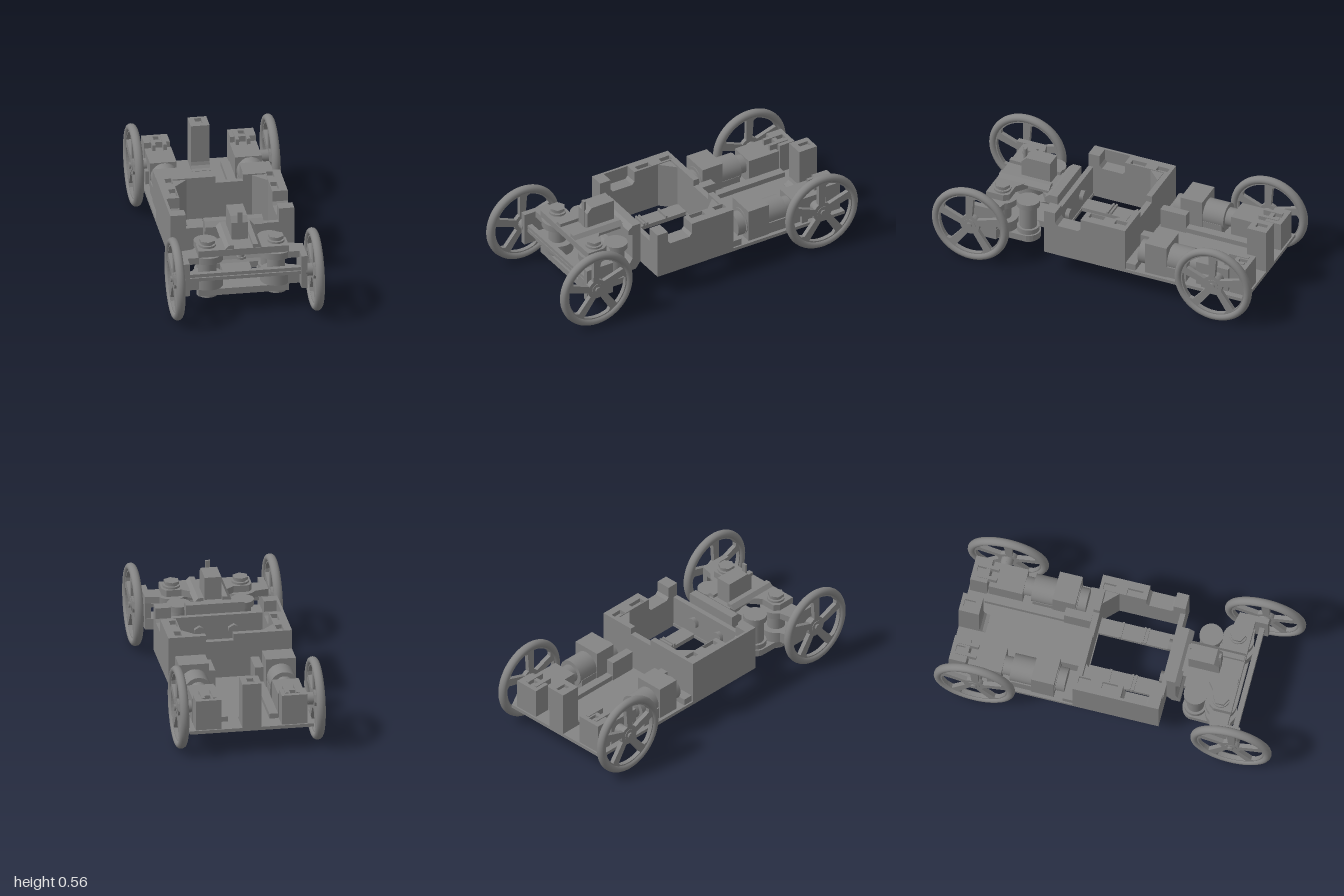
import * as THREE from 'three';

const mat = new THREE.MeshStandardMaterial({ color: 0x848484 });

export function createModel() {
  const root = new THREE.Group();
  const add = (name, geo, parent = root) => {
    const m = new THREE.Mesh(geo, mat);
    m.name = name;
    parent.add(m);
    return m;
  };
  const box = (name, x0, x1, y0, y1, z0, z1) =>
    add(name, new THREE.BoxGeometry(Math.abs(x1 - x0), y1 - y0, z1 - z0)
      .translate((x0 + x1) / 2, (y0 + y1) / 2, (z0 + z1) / 2));
  // the same box on both sides
  const pair = (name, x0, x1, ...r) => [1, -1].forEach(s => box(name, s * x0, s * x1, ...r));
  // upright cylinder
  const post = (name, x, z, r, y0, y1, n = 32) =>
    add(name, new THREE.CylinderGeometry(r, r, y1 - y0, n).translate(x, (y0 + y1) / 2, z));
  // cylinder lying along z or x
  const rodZ = (name, x, y, r, z0, z1, n = 32) =>
    add(name, new THREE.CylinderGeometry(r, r, z1 - z0, n).rotateX(Math.PI / 2).translate(x, y, (z0 + z1) / 2));
  const rodX = (name, y, z, r, x0, x1, parent = root, n = 24) =>
    add(name, new THREE.CylinderGeometry(r, r, Math.abs(x1 - x0), n).rotateZ(Math.PI / 2).translate((x0 + x1) / 2, y, z), parent);
  const toShape = pts => new THREE.Shape(pts.map(p => new THREE.Vector2(...p)));
  const rect = (x0, x1, z0, z1) => [[x0, z0], [x1, z0], [x1, z1], [x0, z1]];
  const ring = (cx, cz, r, n, a0 = 0, a1 = Math.PI * 2) => Array.from({ length: n }, (_, i) => {
    const a = a0 + (a1 - a0) * i / n;
    return [cx + r * Math.cos(a), cz + r * Math.sin(a)];
  });
  // flat plate drawn in x,z
  const plate = (name, pts, y0, y1, holes = []) => {
    const s = toShape(pts);
    holes.forEach(h => s.holes.push(toShape(h)));
    return add(name, new THREE.ExtrudeGeometry(s, { depth: y1 - y0, bevelEnabled: false })
      .rotateX(Math.PI / 2).translate(0, y1, 0));
  };
  // side profile drawn in z,y, running across x
  const profile = (name, pts, x0, x1) =>
    add(name, new THREE.ExtrudeGeometry(toShape(pts), { depth: x1 - x0, bevelEnabled: false })
      .rotateY(-Math.PI / 2).translate(x1, 0, 0));
  // front profile drawn in x,y, running along z
  const section = (name, pts, z0, z1) =>
    add(name, new THREE.ExtrudeGeometry(toShape(pts), { depth: z1 - z0, bevelEnabled: false }).translate(0, 0, z0));
  const mirror = pts => [...pts, ...pts.map(([x, z]) => [-x, z]).reverse()];

  // chassis floor with its large opening and hexagonal sockets under the motors
  plate('floor', rect(-0.36, 0.36, -0.94, 0.32), 0.14, 0.16,
    [[[-0.2, -0.15], [0.2, -0.15], [0.27, -0.08], [0.27, 0.285], [-0.27, 0.285], [-0.27, -0.08]],
      ring(0.25, -0.37, 0.075, 6), ring(-0.25, -0.37, 0.075, 6)]);
  pair('floorRail', 0.1, 0.195, 0.14, 0.165, -0.16, 0.3);
  for (const z of [-0.03, 0.1, 0.12]) pair('railRib', 0.1, 0.195, 0.165, 0.18, z, z + 0.012);

  // middle box: side walls with a scooped top edge and slotted caps
  for (const s of [1, -1]) {
    const [a, b] = s > 0 ? [0.27, 0.36] : [-0.36, -0.27];
    profile('sideWall', [[-0.19, 0.15], [0.32, 0.15], [0.32, 0.425], [0.25, 0.425], [0.25, 0.36], [0.235, 0.342],
      [0.105, 0.342], [0.09, 0.36], [0.09, 0.4], [-0.19, 0.4]], a, b);
    const cx = s * 0.295;
    plate('wallCap', rect(a, b, -0.19, 0.09), 0.4, 0.425,
      [rect(cx - 0.02, cx + 0.02, -0.17, -0.1), rect(cx - 0.02, cx + 0.02, -0.03, 0.06)]);
    plate('cornerGusset', [[s * 0.19, -0.15], [s * 0.27, -0.15], [s * 0.27, -0.07]], 0.14, 0.42);
    rodZ('wallNut', s * 0.1, 0.25, 0.035, 0.265, 0.29, 6);
  }
  box('scoopGuard', -0.36, -0.345, 0.342, 0.425, 0.09, 0.25);
  section('rearWall', [[-0.27, 0.15], [0.27, 0.15], [0.27, 0.425], [0.14, 0.425],
    [0.14, 0.385], [-0.02, 0.385], [-0.02, 0.425], [-0.27, 0.425]], -0.19, -0.155);
  box('frontWall', -0.27, 0.27, 0.15, 0.34, 0.29, 0.32);

  // rear deck: centre post with a filleted foot, corner posts and motors
  profile('centrePost', [[-0.94, 0.15], [-0.78, 0.15], [-0.78, 0.162], [-0.8, 0.168], [-0.814, 0.182], [-0.82, 0.202],
    [-0.82, 0.41], [-0.94, 0.41]], -0.055, 0.055);
  plate('centrePostCap', rect(-0.055, 0.055, -0.94, -0.82), 0.41, 0.43, [rect(-0.02, 0.02, -0.92, -0.855)]);
  for (const s of [1, -1]) {
    const x = s * 0.25;
    plate('cornerPostCap', rect(x - 0.075, x + 0.075, -0.93, -0.83), 0.32, 0.34, [rect(x - 0.02, x + 0.02, -0.905, -0.855)]);
    box('cornerPost', x - 0.075, x + 0.075, 0.15, 0.32, -0.93, -0.83);
    box('gearbox', s * 0.17, s * 0.325, 0.16, 0.31, -0.82, -0.62);
    box('gearboxRib', s * 0.2, s * 0.22, 0.3, 0.345, -0.9, -0.78);
    box('gearboxRib', s * 0.265, s * 0.285, 0.3, 0.345, -0.9, -0.78);
    rodZ('motorNeck', x, 0.25, 0.055, -0.63, -0.55);
    rodZ('motor', x, 0.25, 0.08, -0.57, -0.3);
    rodZ('motorEnd', x, 0.24, 0.07, -0.3, -0.25);
    box('motorClamp', s * 0.165, s * 0.34, 0.16, 0.36, -0.44, -0.305);
    box('motorSaddle', s * 0.17, s * 0.335, 0.16, 0.23, -0.56, -0.44);
    box('clampEar', s * 0.115, s * 0.165, 0.15, 0.28, -0.36, -0.2);
    box('innerRail', s * 0.12, s * 0.17, 0.15, 0.19, -0.83, -0.36);
    box('outerLug', s * 0.32, s * 0.345, 0.16, 0.24, -0.7, -0.66);
    box('deckStep', s * 0.17, s * 0.35, 0.15, 0.2, -0.25, -0.19);
    rodX('rearAxle', 0.24, -0.76, 0.035, s * 0.3, s * 0.385);
  }

  // neck joining the box and the front frame
  profile('neck', [[0.32, 0.14], [0.35, 0.1], [0.4, 0.1], [0.4, 0.14], [0.385, 0.155], [0.372, 0.18], [0.372, 0.34],
    [0.4, 0.35], [0.4, 0.375], [0.37, 0.4], [0.32, 0.4]], -0.17, 0.17);
  // front frame plates
  plate('lowerPlate', mirror([[0.085, 0.34], [0.085, 0.54], ...ring(0.187, 0.495, 0.075, 12, Math.PI, Math.PI * 2),
    [0.262, 0.62], [0.262, 0.725]]), 0.1, 0.14);
  plate('upperPlate', mirror([[0.085, 0.33], [0.085, 0.54], [0.15, 0.59], [0.24, 0.59], [0.262, 0.62], [0.262, 0.725]]), 0.345, 0.385);
  for (const s of [1, -1])
    section('channelWall', [[s * 0.055, 0.38], [s * 0.11, 0.38], [s * 0.085, 0.406], [s * 0.055, 0.406]], 0.4, 0.72);
  profile('topBlock', [[0.42, 0.38], [0.6, 0.38], [0.6, 0.49], [0.57, 0.522], [0.42, 0.522]], -0.052, 0.045);
  box('sightBlade', -0.015, 0.012, 0.38, 0.555, 0.588, 0.602);
  post('pivotBoss', 0, 0.63, 0.035, 0.32, 0.35);
  post('pivotShaft', 0, 0.63, 0.02, 0.285, 0.325);
  post('pivotNut', 0, 0.63, 0.03, 0.28, 0.294, 6);

  // pivots, steering knuckles and cross bars
  for (const s of [1, -1]) {
    const k = s * 0.2, d = s * 0.185;
    post('kingpin', k, 0.65, 0.052, 0.09, 0.35);
    post('kingpinFoot', k, 0.65, 0.062, 0.08, 0.098);
    post('kingpinWasher', k, 0.65, 0.05, 0.385, 0.397);
    post('kingpinNeck', k, 0.65, 0.036, 0.397, 0.405);
    post('kingpinBolt', k, 0.65, 0.047, 0.405, 0.422, 6);
    post('damper', d, 0.495, 0.05, 0.1, 0.33);
    post('damperCap', d, 0.495, 0.068, 0.31, 0.345);
    post('damperCollar', d, 0.495, 0.065, 0.14, 0.17);
    post('damperFoot', d, 0.495, 0.05, 0.08, 0.1);
    for (const [y0, y1] of [[0.14, 0.205], [0.302, 0.342]]) {
      post('knuckleEye', k, 0.65, 0.092, y0, y1);
      plate('knuckleArm', [[k, 0.585], [s * 0.36, 0.62], [s * 0.36, 0.72], [k, 0.72]], y0, y1);
    }
    box('knuckleUpright', s * 0.325, s * 0.36, 0.14, 0.342, 0.62, 0.795);
    rodX('frontAxle', 0.24, 0.76, 0.037, s * 0.35, s * 0.4);
  }
  box('upperBar', -0.33, 0.33, 0.245, 0.265, 0.745, 0.775);
  box('lowerBar', -0.33, 0.33, 0.22, 0.24, 0.745, 0.775);

  // wheels: round tyre and a web with five windows between tapered spokes
  const web = toShape(ring(0, 0, 0.215, 60));
  for (let i = 0; i < 5; i++) {
    const mid = Math.PI / 2 + (i + 0.5) * Math.PI * 2 / 5, half = Math.PI / 5;
    const w = half - 0.13, v = half - 0.24;
    web.holes.push(toShape([...ring(0, 0, 0.19, 10, mid - w, mid + w), ...ring(0, 0, 0.178, 1, mid + w),
      ...ring(0, 0, 0.06, 4, mid + v, mid - v)]));
  }
  const wheel = (name, x, z) => {
    const g = new THREE.Group();
    g.name = name;
    g.position.set(x, 0.24, z);
    const s = Math.sign(x);
    add('tyre', new THREE.TorusGeometry(0.217, 0.023, 14, 64).scale(1, 1, 1.13).rotateY(Math.PI / 2), g);
    add('spokes', new THREE.ExtrudeGeometry(web, { depth: 0.026, bevelEnabled: false })
      .translate(0, 0, -0.013).rotateY(Math.PI / 2), g);
    rodX('hub', 0, 0, 0.036, -s * 0.045, s * 0.016, g);
    rodX('axleNut', 0, 0, 0.018, s * 0.01, s * 0.027, g, 6);
    root.add(g);
  };
  for (const s of [1, -1]) {
    wheel('frontWheel', s * 0.405, 0.76);
    wheel('rearWheel', s * 0.397, -0.76);
  }
  return root;
}
